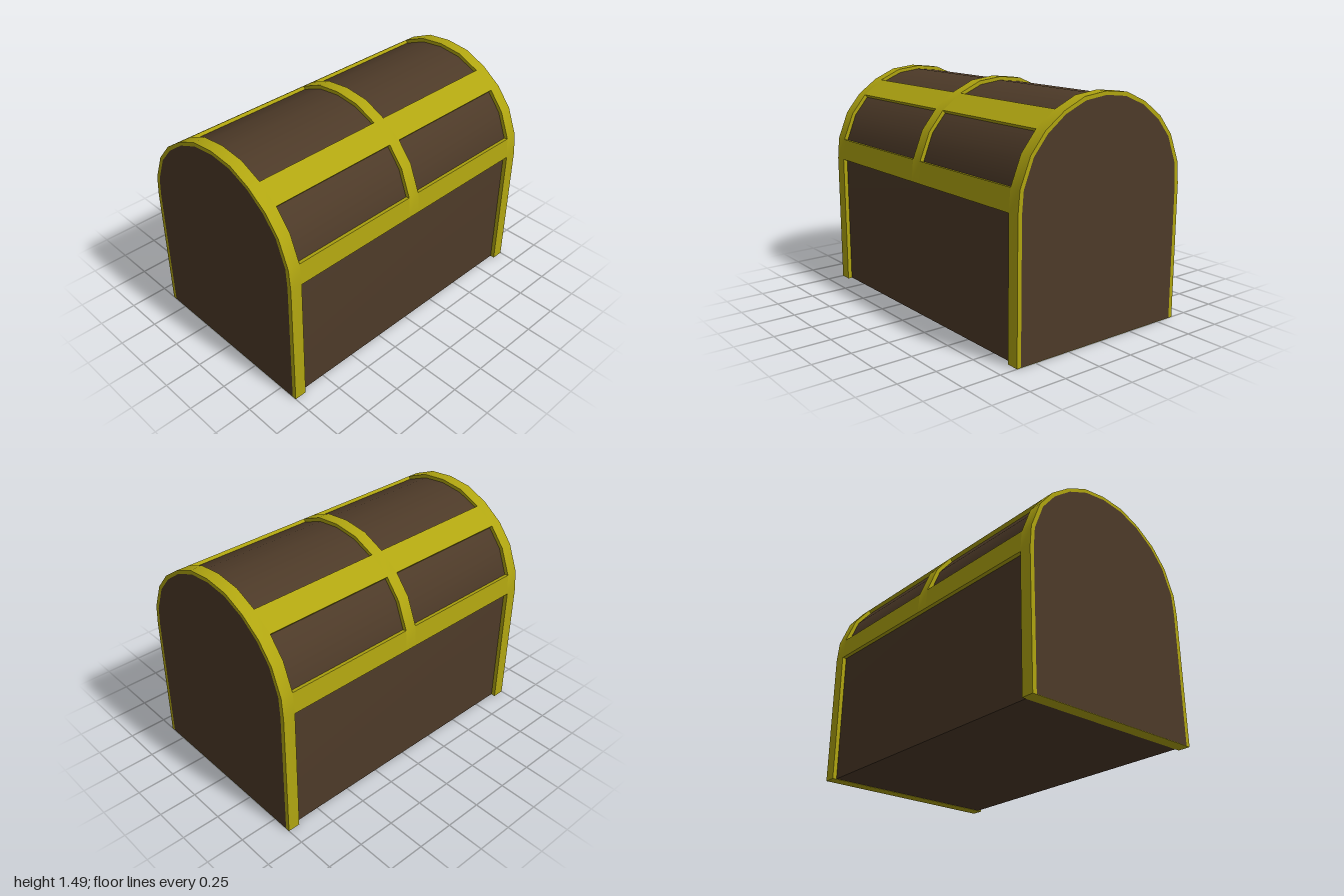
import * as THREE from 'three';
import { toCreasedNormals } from 'three/addons/utils/BufferGeometryUtils.js';

// Half profiles as [z, y], from the floor up to the crown
const OUTER = [[0.633, 0], [0.633, 0.873], [0.62, 1.012], [0.549, 1.187], [0.447, 1.31], [0.313, 1.405], [0.165, 1.47], [0, 1.488]];
const INNER = [[0.605, 0], [0.605, 0.873], [0.594, 1.007], [0.526, 1.177], [0.43, 1.291], [0.302, 1.386], [0.155, 1.447], [0, 1.465]];

// Full arch from front to back, starting at profile point `start`
const arch = (half, start = 0) => {
  const front = half.slice(start);
  const back = front.slice(0, -1).reverse().map(([z, y]) => [-z, y]);
  return [...front, ...back];
};

// Extrude a [z, y] outline along x, centred on x
function alongX(points, width, x = 0) {
  const shape = new THREE.Shape(points.map(([z, y]) => new THREE.Vector2(z, y)));
  const geo = new THREE.ExtrudeGeometry(shape, { depth: width, bevelEnabled: false });
  geo.translate(0, 0, -width / 2);
  geo.rotateY(-Math.PI / 2);
  geo.translate(x, 0, 0);
  return toCreasedNormals(geo, 0.5);
}

export function createModel() {
  const chest = new THREE.Group();
  chest.name = 'chest';
  const wood = new THREE.MeshStandardMaterial({ color: 0x4d3a28 });
  const brass = new THREE.MeshStandardMaterial({ color: 0xb0a510 });
  const add = (name, geo, material) => {
    const mesh = new THREE.Mesh(geo, material);
    mesh.name = name;
    chest.add(mesh);
  };

  // Wooden body with arched lid
  const bodyProfile = arch(INNER).map(([z, y]) => [z, Math.max(y, 0.002)]);
  add('body', alongX(bodyProfile, 2), wood);

  // Metal hoops at both ends, with a thin strip under the floor
  const hoop = [...arch(OUTER), ...arch(INNER).reverse()];
  for (const side of [-1, 1]) {
    add('endHoop', alongX(hoop, 0.08, side * 0.96), brass);
    const strip = new THREE.BoxGeometry(0.08, 0.002, 1.21);
    strip.translate(side * 0.96, 0.001, 0);
    add('floorStrip', strip, brass);
  }

  // Central strap over the lid only
  add('centreStrap', alongX([...arch(OUTER, 1), ...arch(INNER, 1).reverse()], 0.08), brass);

  // Lengthwise bands at the lid rim and upper lid, front and back
  for (const i of [1, 4]) {
    const section = [OUTER[i], OUTER[i + 1], INNER[i + 1], INNER[i]];
    for (const zSide of [1, -1]) {
      const points = section.map(([z, y]) => [z * zSide, y]);
      for (const xSide of [-1, 1]) {
        add(i === 1 ? 'rimBand' : 'lidBand', alongX(points, 0.88, xSide * 0.48), brass);
      }
    }
  }
  return chest;
}
